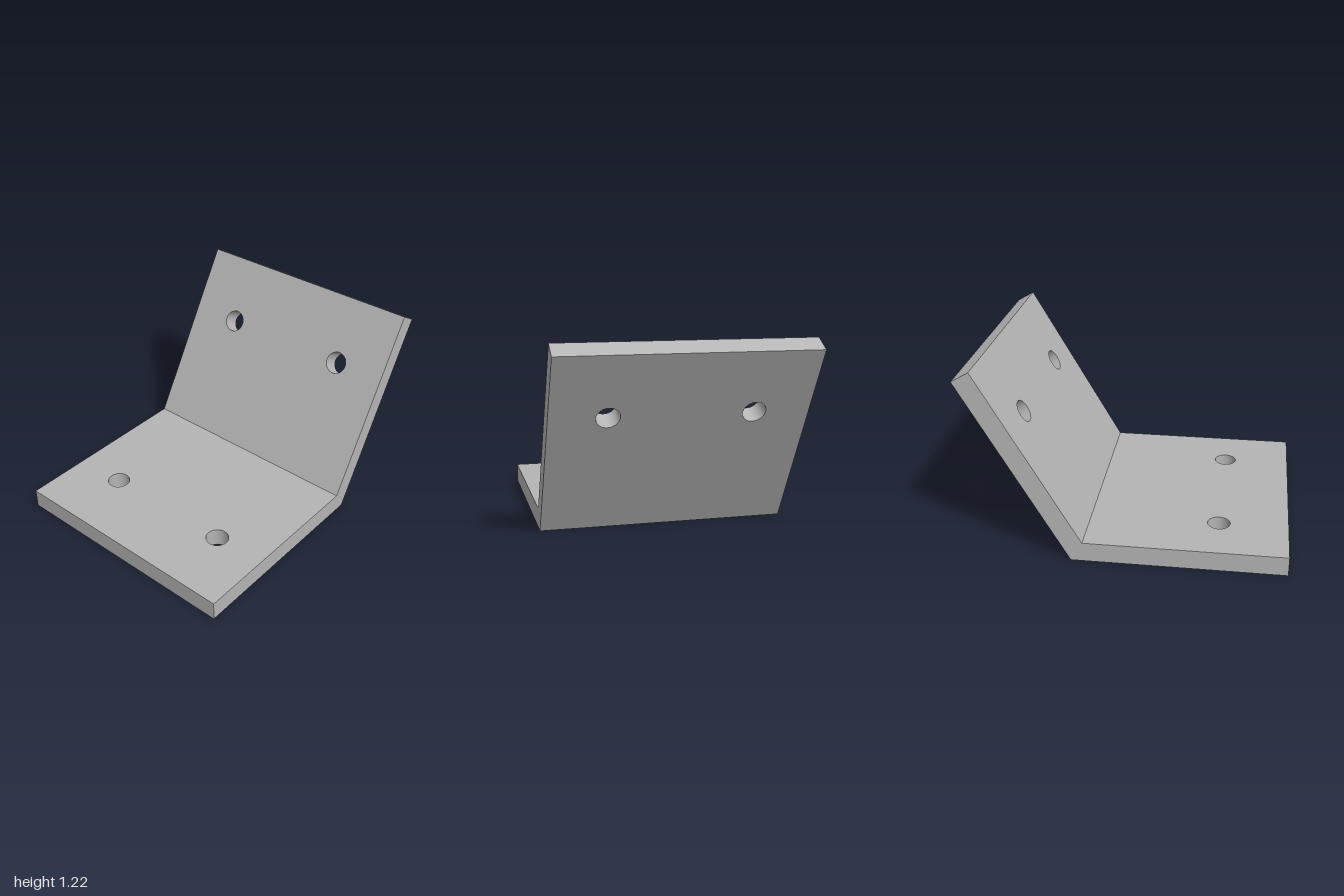
import * as THREE from 'three';
import { toCreasedNormals } from 'three/addons/utils/BufferGeometryUtils.js';

const LENGTH = 1.333, HALF_WIDTH = 0.787, THICKNESS = 0.126;
const HOLE_RADIUS = 0.072, HOLE_INSET = 0.44, HOLE_Z = 0.44;
const MITRE = Math.tan(Math.PI / 6);

// Drilled plate running from the bend at x = 0 to x = -LENGTH, with a mitred bend end
function plateGeometry() {
  const shape = new THREE.Shape([
    new THREE.Vector2(-LENGTH, -HALF_WIDTH),
    new THREE.Vector2(0, -HALF_WIDTH),
    new THREE.Vector2(0, HALF_WIDTH),
    new THREE.Vector2(-LENGTH, HALF_WIDTH),
  ]);
  for (const side of [-1, 1]) {
    const hole = new THREE.Path();
    hole.absarc(-LENGTH + HOLE_INSET, side * HOLE_Z, HOLE_RADIUS, 0, Math.PI * 2, true);
    shape.holes.push(hole);
  }
  const solid = new THREE.ExtrudeGeometry(shape, {
    depth: THICKNESS, bevelEnabled: false, curveSegments: 40,
  }).rotateX(-Math.PI / 2);

  // Slant the bend end and leave out the hidden face where the plates join
  const p = solid.attributes.position;
  const kept = [];
  for (let i = 0; i < p.count; i += 3) {
    const corners = [i, i + 1, i + 2].map((k) => new THREE.Vector3().fromBufferAttribute(p, k));
    if (corners.every((v) => Math.abs(v.x) < 1e-5)) continue;
    for (const v of corners) {
      if (Math.abs(v.x) < 1e-5) v.x -= v.y * MITRE;
      kept.push(v.x, v.y, v.z);
    }
  }
  const plate = new THREE.BufferGeometry();
  plate.setAttribute('position', new THREE.Float32BufferAttribute(kept, 3));
  return toCreasedNormals(plate, Math.PI / 6);
}

export function createModel() {
  const steel = new THREE.MeshStandardMaterial({ color: 0xb4b4b4 });
  steel.name = 'light grey steel';

  const bracket = new THREE.Group();
  bracket.name = 'angleBracket';
  const geometry = plateGeometry();

  const basePlate = new THREE.Mesh(geometry, steel);
  basePlate.name = 'basePlate';

  // The sloping plate is the base turned half a revolution about the line bisecting the bend
  const slopingPlate = new THREE.Mesh(geometry, steel);
  slopingPlate.name = 'slopingPlate';
  const bisector = new THREE.Vector3(Math.cos(Math.PI * 2 / 3), Math.sin(Math.PI * 2 / 3), 0);
  slopingPlate.quaternion.setFromAxisAngle(bisector, Math.PI);

  for (const plate of [basePlate, slopingPlate]) {
    plate.position.x = LENGTH - 1;
    bracket.add(plate);
  }
  return bracket;
}
